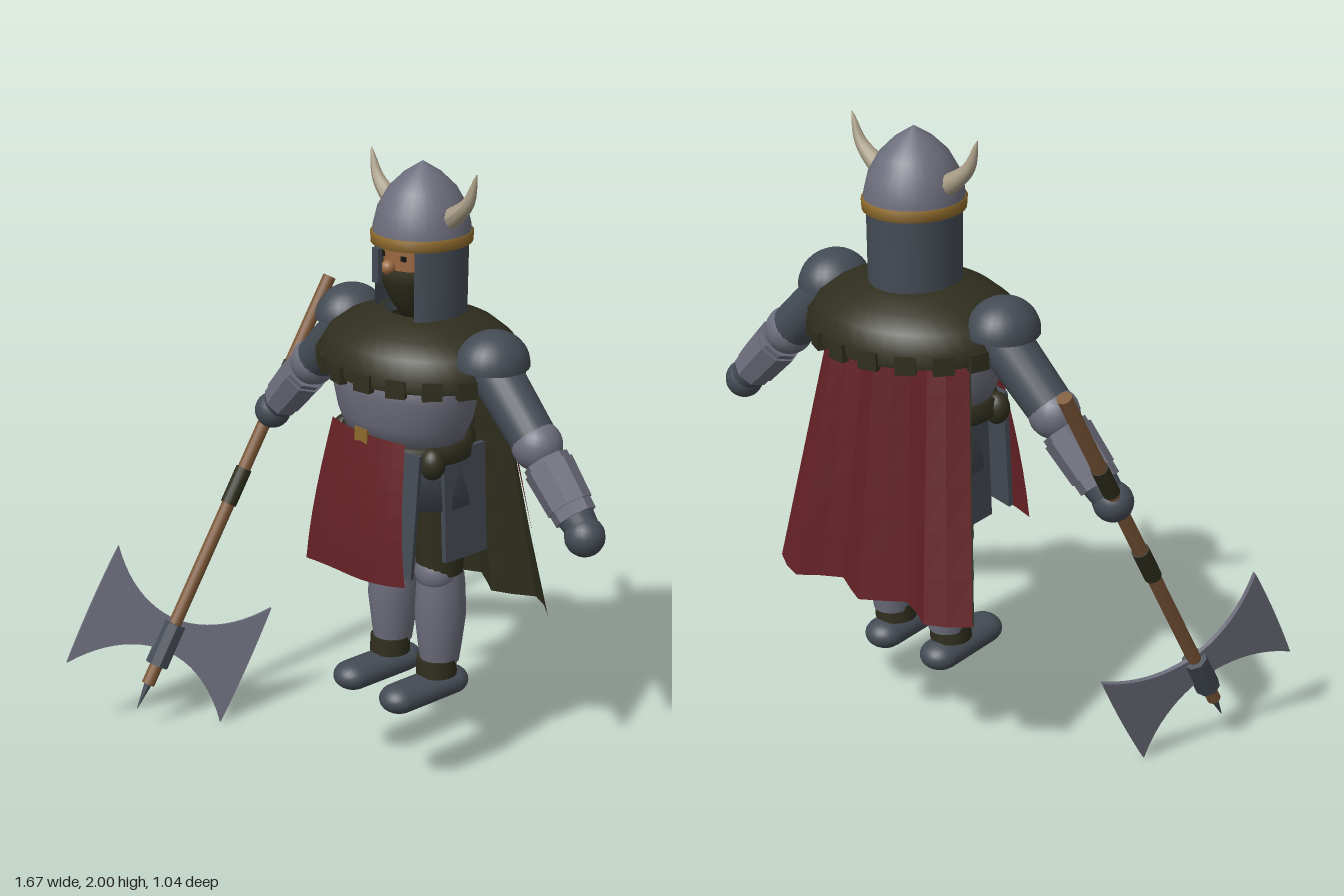
import * as THREE from 'three';

const mat = (name, color, side = THREE.FrontSide) => {
  const m = new THREE.MeshStandardMaterial({ color, side });
  m.name = name;
  return m;
};

export function createModel() {
  const steel = mat('light steel', 0x6c6d7b), iron = mat('dark steel', 0x444b54, THREE.DoubleSide);
  const leather = mat('dark olive leather', 0x2f2e1e, THREE.DoubleSide), red = mat('red cloth', 0x652125);
  const gold = mat('gold', 0x8e6a2c), wood = mat('wood', 0x7d5838), horn = mat('horn', 0xa89d86);
  const skin = mat('skin', 0x9c6a42), black = mat('black', 0x181614);

  const model = new THREE.Group();
  model.name = 'axeWarrior';
  const body = new THREE.Group();
  body.name = 'body';
  body.position.set(0.056, 0, -0.23);
  model.add(body);

  // helpers
  const V = (x, y, z) => new THREE.Vector3(x, y, z);
  const add = (name, geo, material, x = 0, y = 0, z = 0, parent = body) => {
    const mesh = new THREE.Mesh(geo, material);
    mesh.name = name;
    mesh.position.set(x, y, z);
    parent.add(mesh);
    return mesh;
  };
  const flat = (geo) => {
    const g = geo.index ? geo.toNonIndexed() : geo;
    g.computeVertexNormals();
    return g;
  };
  const lathe = (pts, n = 32) => new THREE.LatheGeometry(pts.map(p => new THREE.Vector2(...p)), n);
  const ball = (r) => new THREE.SphereGeometry(r, 20, 14);
  const box = (x, y, z) => new THREE.BoxGeometry(x, y, z);
  const limb = (name, a, b, ra, rb, material, n = 20, faceted = false) => {
    const geo = new THREE.CylinderGeometry(rb, ra, a.distanceTo(b), n);
    const c = a.clone().lerp(b, 0.5);
    const mesh = add(name, faceted ? flat(geo) : geo, material, c.x, c.y, c.z);
    mesh.quaternion.setFromUnitVectors(V(0, 1, 0), b.clone().sub(a).normalize());
    return mesh;
  };
  // cloth sheet: rule takes u in -1..1 and v in 0..1
  const sheet = (nu, nv, rule) => {
    const g = new THREE.PlaneGeometry(2, 1, nu, nv), p = g.attributes.position;
    for (let i = 0; i < p.count; i++) p.setXYZ(i, ...rule(p.getX(i), p.getY(i) + 0.5));
    return flat(g);
  };

  // helmet
  add('helmetDome', lathe([[0.145, 1.77], [0.143, 1.81], [0.13, 1.865], [0.1, 1.92], [0.055, 1.965], [0.001, 2]]), steel)
    .scale.z = 1.05;
  add('helmetBand', lathe([[0.138, 1.76], [0.148, 1.76], [0.15, 1.79], [0.14, 1.795]]), gold).scale.z = 1.06;
  add('neckGuard', new THREE.CylinderGeometry(0.137, 0.135, 0.27, 32, 1, true, 0.7, Math.PI * 2 - 1.4), iron, 0, 1.64, 0)
    .scale.z = 1.05;
  add('noseGuard', box(0.026, 0.105, 0.016), iron, 0, 1.715, 0.178);

  // face and beard
  add('face', new THREE.CylinderGeometry(0.105, 0.1, 0.14, 24), skin, 0, 1.71, 0).scale.z = 1.2;
  add('nose', ball(0.022), skin, 0, 1.7, 0.135);
  add('beard', lathe([[0.001, 1.53], [0.05, 1.535], [0.08, 1.59], [0.1, 1.65], [0.106, 1.69], [0.001, 1.69]]), leather)
    .scale.z = 1.35;

  // mantle with tabs around the rim
  add('mantle', lathe([[0.33, 1.375], [0.335, 1.42], [0.305, 1.47], [0.25, 1.51], [0.17, 1.54], [0.12, 1.55]], 40), leather)
    .scale.z = 0.86;
  for (let i = 0; i < 18; i++) {
    const a = (i + 0.5) / 18 * Math.PI * 2;
    add('mantleTab', box(0.06, 0.055, 0.025), leather, Math.sin(a) * 0.327, 1.388, Math.cos(a) * 0.283).rotation.y = a;
  }

  // torso, belt and mail skirt
  const chest = add('breastplate', lathe([[0.001, 1.16], [0.2, 1.17], [0.23, 1.24], [0.25, 1.33], [0.245, 1.4],
    [0.18, 1.47], [0.001, 1.5]]), steel, 0, 0, 0.06);
  chest.scale.z = 0.8;
  add('belt', lathe([[0.2, 1.12], [0.222, 1.125], [0.222, 1.175], [0.2, 1.18]]), leather, 0, 0, 0.05).scale.z = 0.84;
  add('buckle', box(0.055, 0.05, 0.03), gold, 0, 1.195, 0.225);
  add('mailSkirt', lathe([[0.001, 0.97], [0.215, 0.97], [0.2, 1.14]]), iron, 0, 0, 0.02).scale.z = 0.8;

  // front cloth
  const cloth = (o) => (u, v) => [u * (0.165 + 0.065 * (1 - v)), 1.205 - (1 - v) * (0.45 - 0.025 * u * u * Math.sign(u)),
    0.235 + 0.055 * Math.sin((1 - v) * 1.6) - 0.025 * u * u + o];
  add('frontCloth', sheet(8, 6, cloth(0)), red);
  add('frontClothLining', sheet(8, 6, (u, v) => cloth(-0.008)(-u, v)), red);

  // pleated cape with lining
  const cape = (o) => (u, v) => [u * (0.375 - 0.12 * v), 0.6 + 0.82 * v,
    -0.247 + 0.09 * v - (0.038 - 0.012 * v) * Math.cos(Math.abs(u) * Math.PI * 2 / 0.69) + 0.06 * v * u * u + o];
  add('cape', sheet(12, 6, (u, v) => cape(0)(-u, v)), red);
  add('capeLining', sheet(12, 6, cape(0.008)), leather);

  for (const s of [-1, 1]) {
    // horns and eyes
    const path = new THREE.CatmullRomCurve3([V(s * 0.1, 1.835, 0), V(s * 0.155, 1.87, 0), V(s * 0.2, 1.915, 0), V(s * 0.23, 2, 0)]);
    const hornGeo = new THREE.TubeGeometry(path, 12, 1, 12), p = hornGeo.attributes.position;
    for (let i = 0; i < p.count; i++) {
      const t = Math.floor(i / 13) / 12, c = path.getPointAt(t), q = V(p.getX(i), p.getY(i), p.getZ(i));
      q.sub(c).multiplyScalar(0.034 * Math.pow(1 - t, 0.75) + 0.001).add(c);
      p.setXYZ(i, q.x, q.y, q.z);
    }
    hornGeo.computeVertexNormals();
    add('horn', hornGeo, horn);
    add('eye', box(0.018, 0.014, 0.008), black, s * 0.045, 1.73, 0.114);

    // arm
    const shoulder = V(s * 0.3, 1.45, 0), elbow = V(s * 0.505, 1.25, 0), wrist = V(s * 0.67, 1.075, 0);
    const pauldron = add('pauldron', new THREE.SphereGeometry(0.104, 24, 10, 0, Math.PI * 2, 0, Math.PI / 2), iron,
      s * 0.318, 1.45, 0.005);
    pauldron.scale.z = 1.13;
    pauldron.rotation.z = -s * 0.06;
    limb('upperArm', shoulder, elbow, 0.078, 0.07, iron);
    add('elbowGuard', ball(0.076), steel, elbow.x, elbow.y, 0);
    limb('bracer', elbow.clone().lerp(wrist, 0.22), wrist, 0.07, 0.064, steel, 8, true);
    limb('bracerCuff', elbow.clone().lerp(wrist, 0.3), elbow.clone().lerp(wrist, 0.85), 0.076, 0.07, steel, 8, true);
    limb('gloveCuff', wrist, V(s * 0.7, 1.045, 0), 0.055, 0.05, iron);
    add('hand', ball(0.06), iron, s * 0.712, 1.03, 0.005);

    // hip plates and pouch
    const plate = add('frontHipPlate', box(0.12, 0.39, 0.016), iron, s * 0.14, 0.975, 0.205);
    plate.rotation.set(-0.08, s * 0.25, 0);
    add('sideHipPlate', box(0.018, 0.35, 0.17), iron, s * 0.2, 0.98, 0).rotation.z = s * 0.05;
    add('pouch', ball(0.04), leather, s * 0.2, 1.135, 0.13).scale.y = 1.25;

    // leg
    const x = s * 0.11;
    limb('thigh', V(x, 0.73, 0.01), V(x, 1.02, 0.01), 0.073, 0.09, leather);
    add('kneeGuard', ball(0.07), steel, x, 0.73, 0.022);
    add('greave', lathe([[0.058, 0.42], [0.066, 0.48], [0.077, 0.58], [0.073, 0.68], [0.068, 0.73]], 24), steel, x, 0, 0.005)
      .scale.z = 1.1;
    add('ankleBand', new THREE.CylinderGeometry(0.063, 0.065, 0.055, 20), leather, x, 0.407, 0.018);
    const foot = add('foot', new THREE.CapsuleGeometry(0.063, 0.21, 8, 20), iron, x, 0.338, 0.07);
    foot.rotation.x = Math.PI / 2;
    foot.scale.z = 0.73;
  }

  // double-bladed axe held downward, its own y axis along the shaft
  const axe = new THREE.Group();
  axe.name = 'axe';
  model.add(axe);
  const up = V(0.0337, 0.86, -0.509).normalize();
  const side = V(-0.433, 0.449, 0.782).normalize().cross(up).normalize();
  axe.quaternion.setFromRotationMatrix(new THREE.Matrix4().makeBasis(up.clone().cross(side), up, side));
  axe.position.set(-0.704, 0.32, 0.187);
  const rod = (name, y0, y1, r0, r1, material, n = 16) =>
    add(name, new THREE.CylinderGeometry(r1, r0, y1 - y0, n), material, 0, (y0 + y1) / 2, 0, axe);
  rod('shaft', -0.18, 1.3, 0.022, 0.022, wood);
  rod('upperGrip', 0.88, 0.99, 0.026, 0.026, leather);
  rod('lowerGrip', 0.477, 0.605, 0.027, 0.027, leather);
  rod('spike', -0.27, -0.17, 0.001, 0.014, iron);
  const clamp = rod('headClamp', -0.11, 0.04, 0.04, 0.04, iron, 8);
  clamp.geometry = flat(clamp.geometry);

  const blade = new THREE.Shape();
  blade.moveTo(0.02, -0.055);
  blade.quadraticCurveTo(0.17, -0.07, 0.285, -0.21);
  blade.quadraticCurveTo(0.295, 0, 0.285, 0.21);
  blade.quadraticCurveTo(0.17, 0.07, 0.02, 0.055);
  const bladeGeo = new THREE.ExtrudeGeometry(blade, { depth: 0.014, bevelEnabled: false, curveSegments: 10 });
  bladeGeo.translate(0, 0, -0.007);
  for (const a of [0, Math.PI]) add('axeBlade', bladeGeo, steel, 0, 0, 0, axe).rotation.y = a;

  return model;
}
